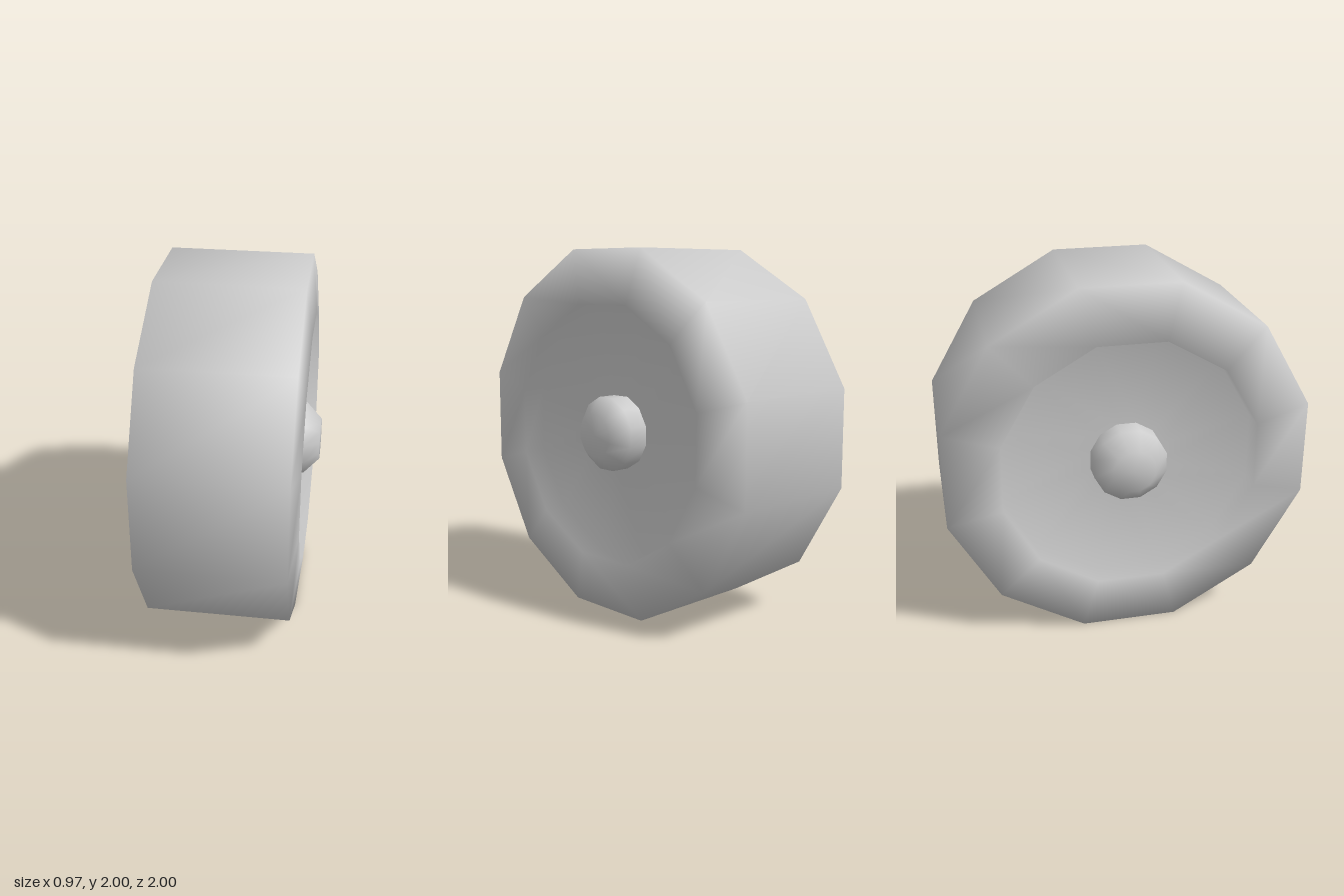
import * as THREE from 'three';

const SIDES = 12;
const CORNER = 1 / Math.cos(Math.PI / SIDES); // flat-to-flat radius -> corner radius

// Turn a [radius, x] profile around the x axis, with flats at top and bottom.
function turned(name, profile) {
  const points = profile.map(([r, x]) => new THREE.Vector2(r * CORNER, x));
  const geometry = new THREE.LatheGeometry(points, SIDES, Math.PI / SIDES);
  geometry.rotateZ(-Math.PI / 2);
  const mesh = new THREE.Mesh(geometry, new THREE.MeshStandardMaterial({ color: 0xcccccc }));
  mesh.name = name;
  return mesh;
}

export function createModel() {
  const wheel = new THREE.Group();
  wheel.name = 'wheel';

  // Tyre with sloping sidewalls and a recessed dish on both sides
  const half = [[1, 0.393], [0.7, 0.425], [0.7, 0.29], [0.19, 0.29]];
  const mirrored = half.map(([r, x]) => [r, -x]).reverse();
  wheel.add(turned('tyreAndDish', [...mirrored, ...half]));

  // Hub cap on each side, bevelled towards its flat end
  for (const side of [1, -1]) {
    const hub = turned(side > 0 ? 'leftHub' : 'rightHub',
      [[0.2, 0.28], [0.2, 0.4], [0.115, 0.485], [0, 0.485]]);
    if (side < 0) hub.rotation.y = Math.PI;
    wheel.add(hub);
  }

  wheel.position.y = 1;
  const model = new THREE.Group();
  model.add(wheel);
  return model;
}
